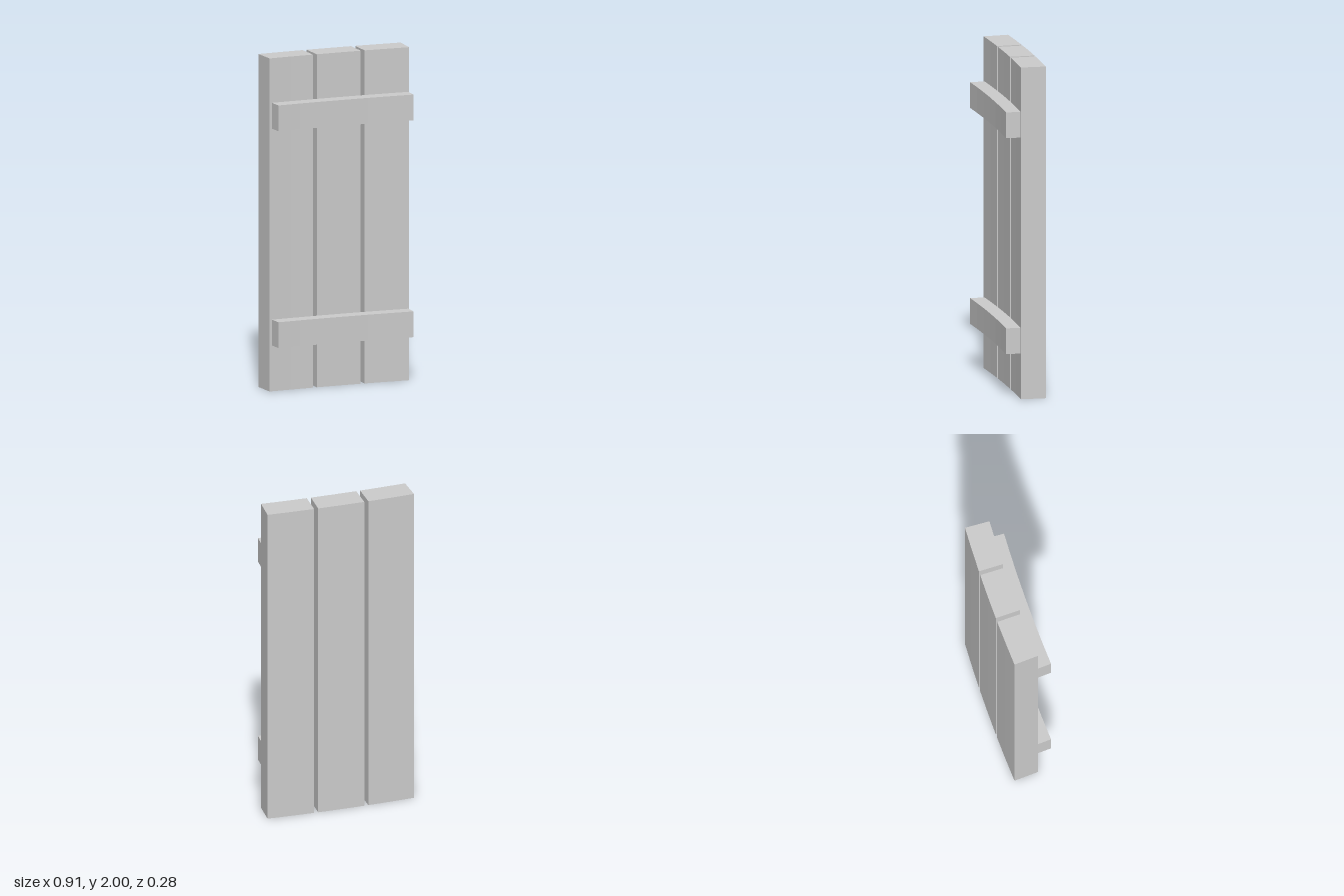
import * as THREE from 'three';

// Plan-view arc: every part is a slice of rings sharing this centre
const CX = 0.47, CZ = 8.555;
const BACK_R = 8.7, FACE_R = 8.55, BRACE_R = 8.462;

export function createModel() {
  const group = new THREE.Group();
  const grey = new THREE.MeshStandardMaterial({ color: 0xcccccc, flatShading: true });
  grey.name = 'grey wood';

  // Curved slab between two radii, from angle a0 to a1, from y0 up to y0 + height
  function slab(name, outerR, innerR, a0, a1, y0, height, segments) {
    const points = [];
    const add = (r, a) => points.push(new THREE.Vector2(CX + r * Math.sin(a), r * Math.cos(a) - CZ));
    for (let i = 0; i <= segments; i++) add(outerR, a0 + (a1 - a0) * i / segments);
    for (let i = segments; i >= 0; i--) add(innerR, a0 + (a1 - a0) * i / segments);
    const geometry = new THREE.ExtrudeGeometry(new THREE.Shape(points), { depth: height, bevelEnabled: false });
    geometry.rotateX(-Math.PI / 2);
    geometry.translate(0, y0, 0);
    const mesh = new THREE.Mesh(geometry, grey);
    mesh.name = name;
    group.add(mesh);
  }

  const angleAt = (x) => Math.asin((x - CX) / BACK_R);

  // Three upright planks with narrow gaps
  [[-0.453, -0.168], [-0.143, 0.142], [0.167, 0.452]].forEach(([x0, x1], i) =>
    slab(['rightPlank', 'middlePlank', 'leftPlank'][i], BACK_R, FACE_R, angleAt(x0), angleAt(x1), 0, 2, 2));

  // Two cross braces on the front
  const braceStart = Math.asin((-0.421 - CX) / FACE_R), braceEnd = Math.asin((0.448 - CX) / FACE_R);
  slab('lowerBrace', FACE_R, BRACE_R, braceStart, braceEnd, 0.275, 0.155, 6);
  slab('upperBrace', FACE_R, BRACE_R, braceStart, braceEnd, 1.577, 0.155, 6);

  return group;
}
